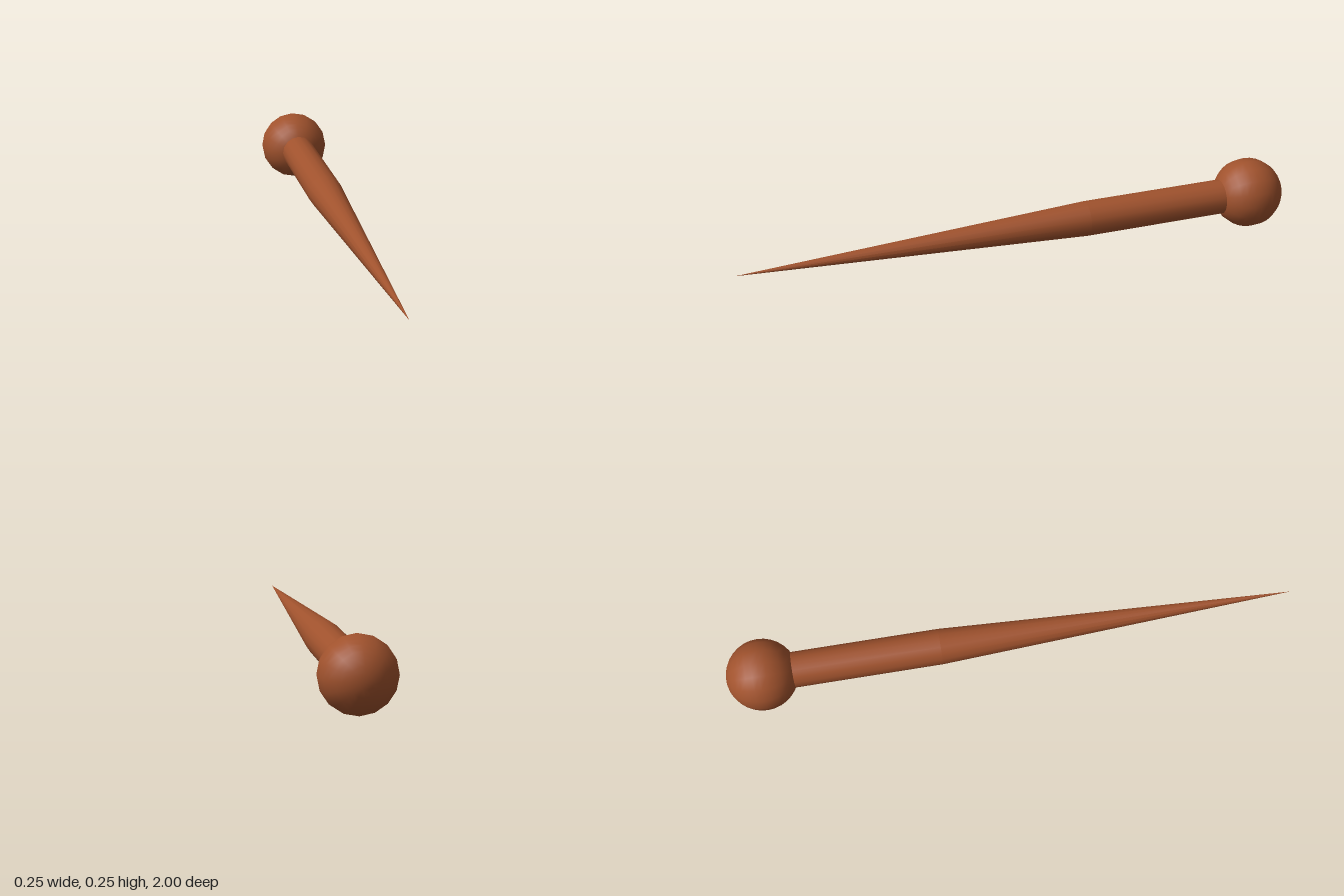
import * as THREE from 'three';

const R = 0.125; // knob radius; the pin's axis lies at this height

export function createModel() {
  const group = new THREE.Group();
  const material = new THREE.MeshStandardMaterial({ color: 0xa0522d });

  // every part is turned about the z axis, centred at the given z
  const add = (name, geometry, z) => {
    geometry.rotateX(Math.PI / 2);
    const mesh = new THREE.Mesh(geometry, material);
    mesh.name = name;
    mesh.position.set(0, R, z);
    group.add(mesh);
  };

  // round knob at the back
  add('knob', new THREE.SphereGeometry(R, 16, 16), -0.875);
  // straight shaft, starting inside the knob
  add('shaft', new THREE.CylinderGeometry(R / 2, R / 2, 0.625, 16), -0.5625);
  // long tapering point
  add('point', new THREE.ConeGeometry(R / 2, 1.25, 16), 0.375);

  return group;
}
